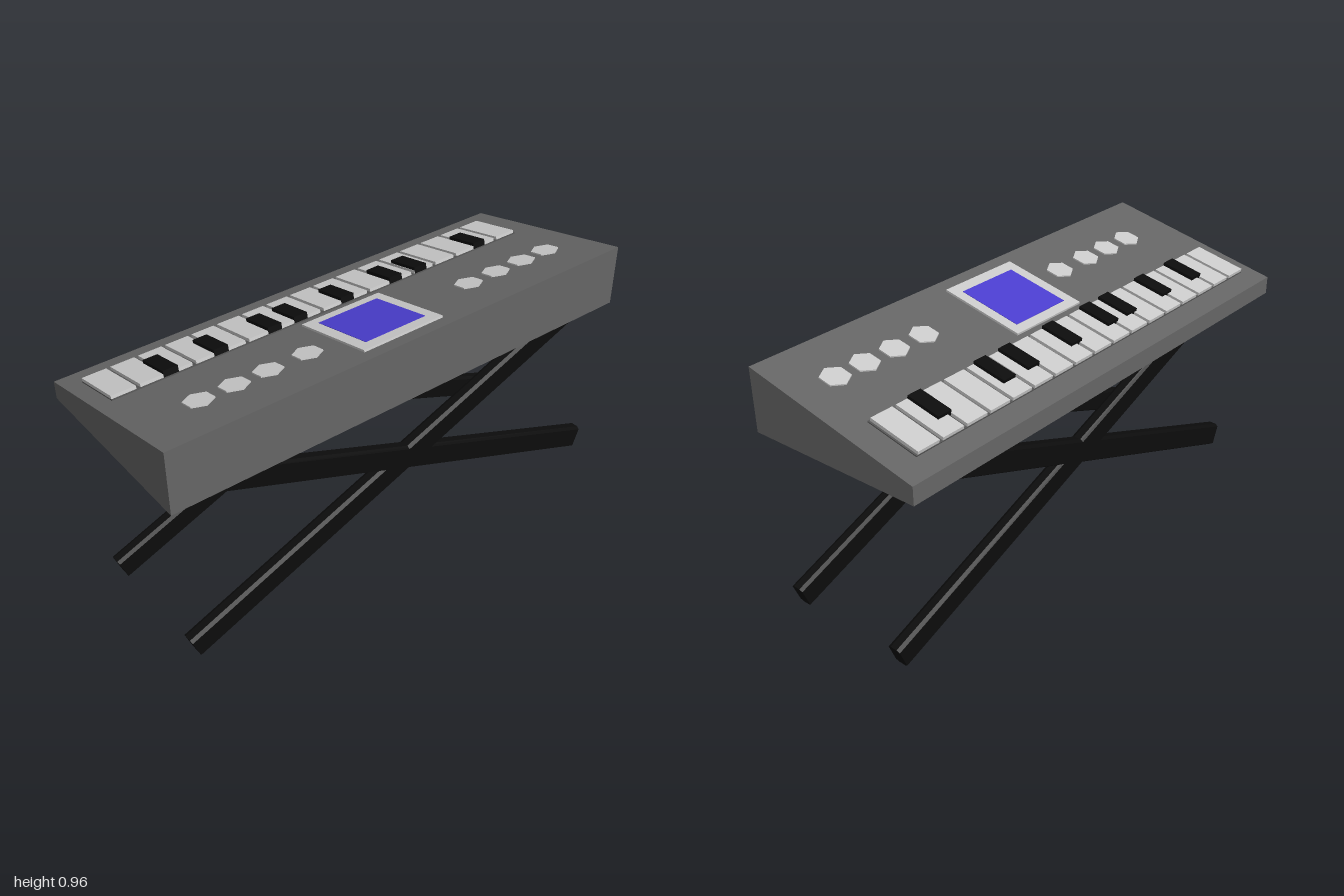
import * as THREE from 'three';

const material = (color) => new THREE.MeshStandardMaterial({ color, flatShading: true });

// Prism along x whose cross-section is given as [z, y] points.
function prismX(points, length) {
  const shape = new THREE.Shape(points.map(([z, y]) => new THREE.Vector2(z, y)));
  return new THREE.ExtrudeGeometry(shape, { depth: length, bevelEnabled: false })
    .translate(0, 0, -length / 2)
    .rotateY(-Math.PI / 2);
}

export function createModel() {
  const model = new THREE.Group();
  model.name = 'keyboardOnStand';
  const grey = material(0xcccccc);
  const dark = material(0x666666);
  const tray = material(0x555555);
  const black = material(0x0c0c0c);
  const blue = material(0x4b3ed0);

  const add = (parent, name, geometry, mat) => {
    const mesh = new THREE.Mesh(geometry, mat);
    mesh.name = name;
    parent.add(mesh);
    return mesh;
  };

  // Wedge-shaped case
  add(model, 'case', prismX([[0.367, 0.716], [0.367, 0.96], [-0.367, 0.814], [-0.367, 0.745]], 2), dark);

  // Sloping control panel: y is the height above the case surface
  const slope = Math.atan2(0.146, 0.734);
  const panel = new THREE.Group();
  panel.name = 'controlPanel';
  panel.position.y = 0.887;
  panel.rotation.x = -slope;
  model.add(panel);

  // Slab between plan limits, rising from inside the case to a given height
  const slab = (name, x0, x1, z0, z1, top, mat) => {
    const a = z0 / Math.cos(slope), b = z1 / Math.cos(slope), base = -0.01;
    const geometry = new THREE.BoxGeometry(x1 - x0, top - base, b - a);
    add(panel, name, geometry, mat).position.set((x0 + x1) / 2, (top + base) / 2, (a + b) / 2);
  };

  // Keys
  slab('keyTray', -0.937, 0.897, -0.28, -0.068, 0.004, tray);
  for (let i = 0; i < 17; i++) {
    const x = -0.936 + i * 0.1083;
    slab('whiteKey', x, x + 0.093, -0.278, -0.072, 0.016, grey);
  }
  for (const x of [-0.71, -0.51, -0.285, -0.172, 0.04, 0.272, 0.395, 0.702]) {
    slab('blackKey', x - 0.029, x + 0.029, -0.207, -0.071, 0.028, black);
  }

  // Display
  slab('screenFrame', -0.196, 0.154, -0.035, 0.311, 0.008, grey);
  slab('screen', -0.152, 0.114, 0.005, 0.266, 0.0095, blue);

  // Six-sided knobs
  const knob = new THREE.CylinderGeometry(0.054, 0.054, 0.016, 6);
  for (const x of [-0.75, -0.614, -0.481, -0.32, 0.419, 0.558, 0.692, 0.82]) {
    add(panel, 'knob', knob, grey).position.set(x, -0.003, 0.165);
  }

  // Two pairs of crossed legs with bevelled edges
  const w = 0.027, h = 0.047, c = 0.013, d = 0.008;
  const legLength = 2.05;
  const leg = prismX([
    [-w, -h + d], [-w + c, -h], [w - c, -h], [w, -h + d],
    [w, h - d], [w - c, h], [-w + c, h], [-w, h - d],
  ], legLength).translate(legLength / 2, 0, 0);
  for (const z of [0.297, -0.198]) {
    for (const side of [-1, 1]) {
      const mesh = add(model, side < 0 ? 'risingLeg' : 'fallingLeg', leg, black);
      mesh.position.set(0.01 + side * 0.95, 0.044, z);
      mesh.rotation.set(0, side < 0 ? 0 : Math.PI, 0.365);
    }
  }
  return model;
}
